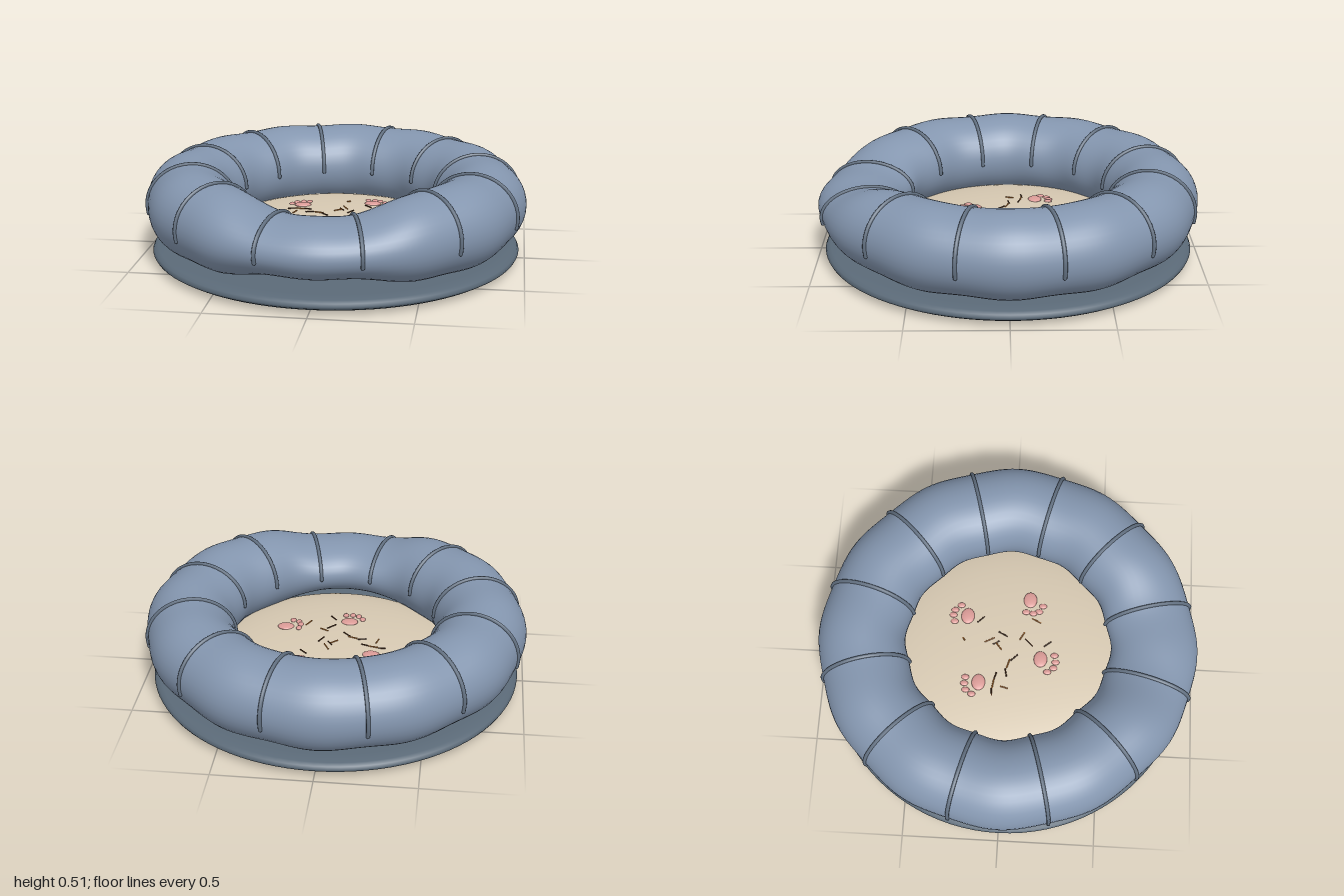
import * as THREE from 'three';
import { mergeVertices } from 'three/addons/utils/BufferGeometryUtils.js';

const material = (name, color) => {
  const m = new THREE.MeshStandardMaterial({ color });
  m.name = name;
  return m;
};

// Point on the padded ring: theta runs round the bed from the front (+z),
// phi runs round the tube from outside (0) over the top (PI/2) to inside (PI).
function ringPoint(theta, phi, lift = 0) {
  const t = Math.atan2(Math.sin(theta), Math.cos(theta));
  const dip = Math.exp(-Math.pow(Math.abs(t) / 0.52, 3)); // low entrance at the front
  const lobe = Math.cos(12 * theta); // -1 at each tied seam
  const centre = 0.762 + 0.006 * lobe + 0.004 * Math.cos(4 * theta);
  const width = 0.228 + lift;
  const height = 0.214 + 0.004 * lobe - 0.076 * dip + lift;
  const r = centre + width * Math.cos(phi);
  const y = 0.288 - 0.018 * dip + height * Math.sin(phi);
  return new THREE.Vector3(r * Math.sin(theta), y, r * Math.cos(theta));
}

// Height of the domed cushion at a point
const DOME = { radius: 0.68, base: 0.08, rise: 0.127 };
const domeY = (x, z) =>
  DOME.base + DOME.rise * Math.sqrt(1 - (x * x + z * z) / DOME.radius ** 2);

export function createModel() {
  const bed = new THREE.Group();
  bed.name = 'petBed';

  const fabric = material('blueGreyFabric', 0x8496af);
  const slate = material('slateBase', 0x5b6a78);
  const cord = material('cordGrey', 0x627081);
  const cream = material('creamCushion', 0xd8cab3);
  const pink = material('pawPink', 0xdb9b97);
  const brown = material('darkBrown', 0x4a2c18);
  const orange = material('orangeBrown', 0xb8722f);

  const add = (name, geometry, mat, parent = bed) => {
    const mesh = new THREE.Mesh(geometry, mat);
    mesh.name = name;
    parent.add(mesh);
    return mesh;
  };

  // Flat base with a rounded rim
  const profile = [[0, 0], [0.6, 0.006], [0.88, 0.012], [0.94, 0.02], [0.962, 0.033], [0.968, 0.045],
    [0.96, 0.06], [0.94, 0.07], [0.88, 0.076], [0, 0.078]].map(([x, y]) => new THREE.Vector2(x, y));
  add('base', new THREE.LatheGeometry(profile, 96), slate);

  // Domed cushion
  const cushion = add('cushion',
    new THREE.SphereGeometry(1, 80, 20, 0, Math.PI * 2, 0, Math.PI / 2), cream);
  cushion.scale.set(DOME.radius, DOME.rise, DOME.radius);
  cushion.position.y = DOME.base;

  // Padded ring, reshaped from a torus
  let ring = new THREE.TorusGeometry(0.76, 0.2, 40, 192).rotateX(-Math.PI / 2);
  const p = ring.attributes.position;
  for (let i = 0; i < p.count; i++) {
    const x = p.getX(i), y = p.getY(i), z = p.getZ(i);
    const q = ringPoint(Math.atan2(x, z), Math.atan2(y, Math.hypot(x, z) - 0.76));
    p.setXYZ(i, q.x, q.y, q.z);
  }
  ring.deleteAttribute('uv');
  ring.deleteAttribute('normal');
  ring = mergeVertices(ring, 1e-4);
  ring.computeVertexNormals();
  add('paddedRing', ring, fabric);

  // Twelve cords tied over the ring
  const cords = new THREE.Group();
  cords.name = 'cords';
  bed.add(cords);
  for (let k = 0; k < 12; k++) {
    const theta = (15 + 30 * k) * Math.PI / 180;
    const points = [];
    for (let i = 0; i <= 16; i++) points.push(ringPoint(theta, -0.22 + (Math.PI + 0.22) * i / 16, 0.003));
    const path = new THREE.CatmullRomCurve3(points);
    add('cord', new THREE.TubeGeometry(path, 40, 0.01, 8), cord, cords);
    for (const end of [points[0], points[16]]) {
      add('cordEnd', new THREE.SphereGeometry(0.01, 8, 6), cord, cords).position.copy(end);
    }
  }

  // Paw prints: one main pad followed by four toes, as [x, z]
  const paws = [
    [[-0.2, -0.147], [-0.265, -0.18], [-0.243, -0.213], [-0.208, -0.222], [-0.174, -0.218]],
    [[0.173, -0.226], [0.141, -0.296], [0.178, -0.305], [0.208, -0.297], [0.236, -0.265]],
    [[0.283, 0.106], [0.21, 0.086], [0.205, 0.125], [0.217, 0.156], [0.251, 0.176]],
    [[-0.056, 0.175], [-0.124, 0.214], [-0.1, 0.246], [-0.067, 0.256], [-0.03, 0.249]],
  ];
  for (const parts of paws) {
    const paw = new THREE.Group();
    paw.name = 'pawPrint';
    bed.add(paw);
    parts.forEach(([x, z], i) => {
      const pad = add(i ? 'toe' : 'pad', new THREE.SphereGeometry(1, 20, 12), pink, paw);
      pad.position.set(x, domeY(x, z) + 0.002, z);
      if (i) pad.scale.set(0.015, 0.008, 0.021);
      else pad.scale.set(0.045, 0.012, 0.036);
    });
  }

  // Loose fibres on the cushion, as [x, z, turn, length]
  const fibres = [
    [-0.25, -0.075, 0.1, 0.04], [-0.205, -0.07, -0.15, 0.05], [-0.16, -0.06, -0.3, 0.04],
    [-0.222, -0.01, 1.3, 0.045], [-0.14, -0.005, 0.2, 0.045], [-0.09, 0.005, -0.3, 0.05],
    [-0.055, 0.035, -0.8, 0.05], [0.005, -0.05, 0.7, 0.05], [0.025, -0.065, -1.0, 0.04],
    [0.04, -0.1, -1.1, 0.06], [0.075, -0.03, 1.1, 0.055], [0.04, -0.24, 0.6, 0.02],
    [0.155, -0.155, -0.8, 0.05], [0.163, 0.145, 1.1, 0.055], [0.033, 0.21, -0.9, 0.05],
    [0.07, 0.072, -0.5, 0.05], [0.035, 0.11, 0.8, 0.06],
  ];
  const fibreGroup = new THREE.Group();
  fibreGroup.name = 'fibres';
  bed.add(fibreGroup);
  fibres.forEach(([x, z, turn, length], i) => {
    const stick = new THREE.CylinderGeometry(0.0035, 0.0035, length, 6).rotateZ(Math.PI / 2);
    const fibre = add('fibre', stick, i % 2 ? orange : brown, fibreGroup);
    fibre.position.set(x, domeY(x, z) + 0.002, z);
    fibre.rotation.y = turn;
  });

  return bed;
}
